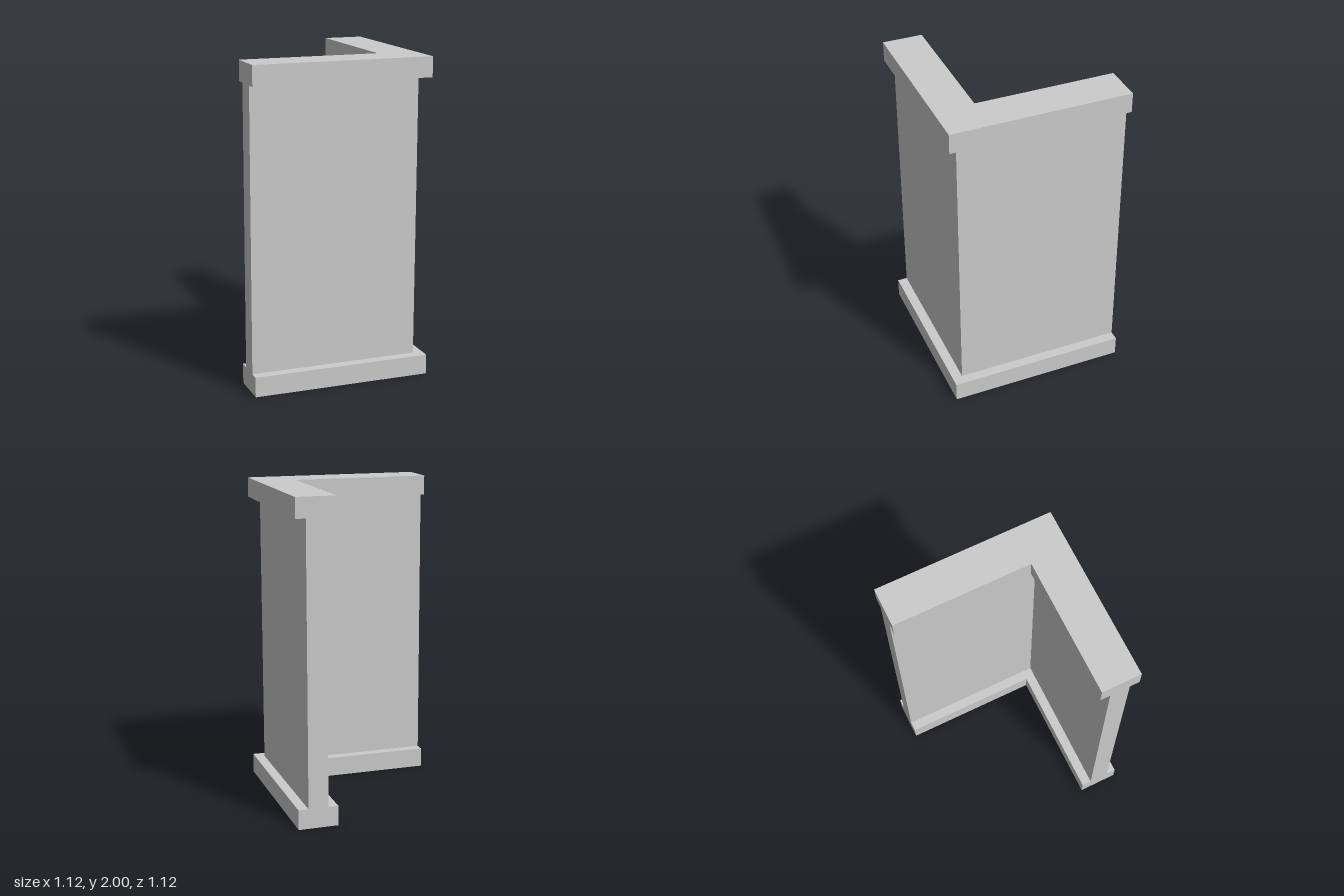
import * as THREE from 'three';

const HALF = 0.5625; // half the footprint, where both wings end
const TRIM = 0.125; // height of the base and top trims

const material = new THREE.MeshStandardMaterial({ color: 0xcccccc, flatShading: true });

// L-shaped slab: wings along the front (+z) and left (+x), between offsets inner and outer
function cornerSlab(name, inner, outer, bottom, height) {
  const shape = new THREE.Shape([
    new THREE.Vector2(-HALF, -outer),
    new THREE.Vector2(outer, -outer),
    new THREE.Vector2(outer, HALF),
    new THREE.Vector2(inner, HALF),
    new THREE.Vector2(inner, -inner),
    new THREE.Vector2(-HALF, -inner),
  ]);
  const geometry = new THREE.ExtrudeGeometry(shape, { depth: height, bevelEnabled: false });
  geometry.rotateX(-Math.PI / 2);
  geometry.translate(0, bottom, 0);
  const mesh = new THREE.Mesh(geometry, material);
  mesh.name = name;
  return mesh;
}

export function createModel() {
  const group = new THREE.Group();
  group.name = 'cornerWall';
  group.add(
    cornerSlab('baseTrim', 0.3125, 0.5625, 0, TRIM),
    cornerSlab('wallPanels', 0.375, 0.5, TRIM, 2 - 2 * TRIM),
    cornerSlab('topTrim', 0.3125, 0.5625, 2 - TRIM, TRIM),
  );
  return group;
}
